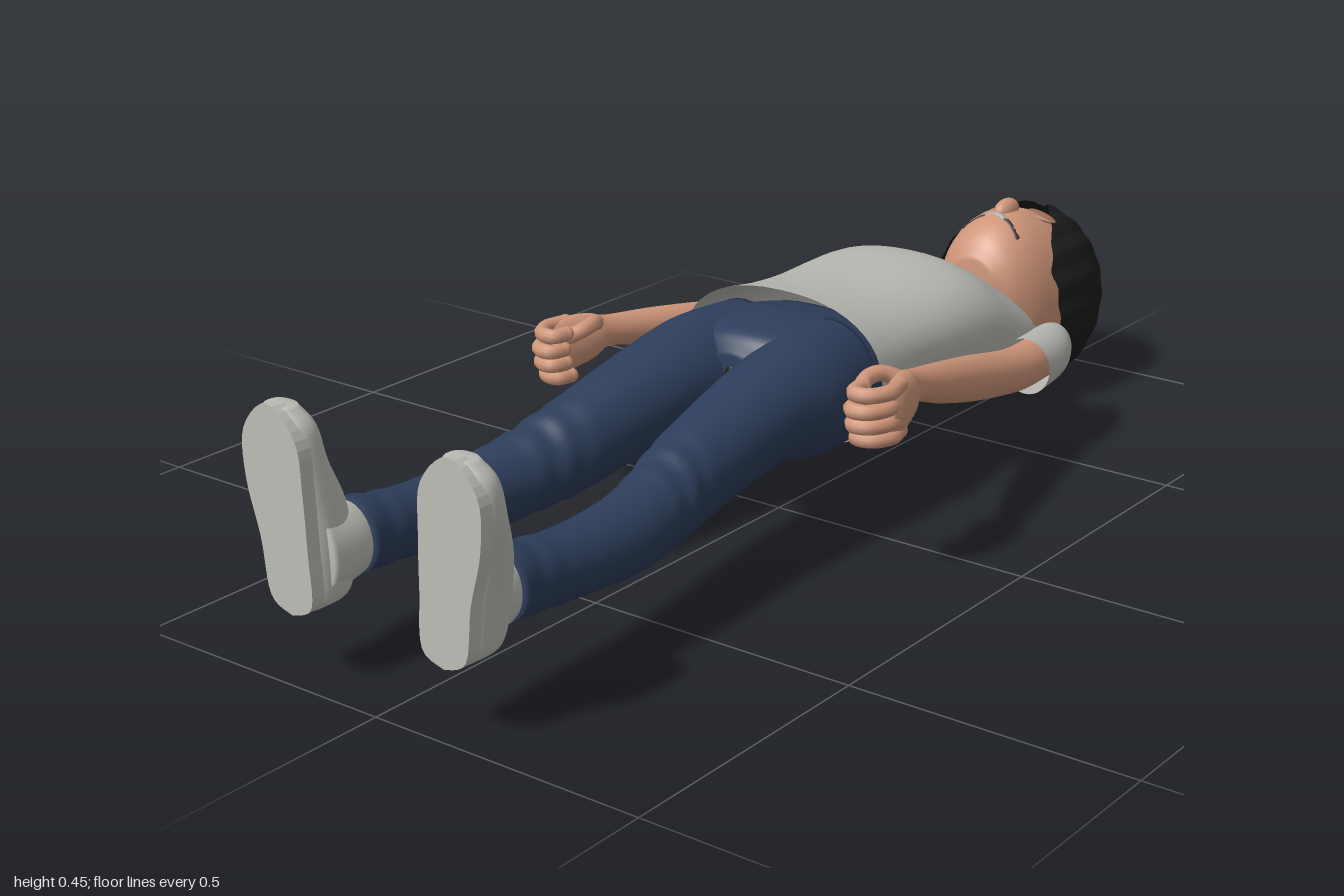
import * as THREE from 'three';
import { ParametricGeometry } from 'three/addons/geometries/ParametricGeometry.js';

const flat = (name, color, side = THREE.FrontSide) => {
  const m = new THREE.MeshStandardMaterial({ color, side });
  m.name = name;
  return m;
};

// Smooth body through cross-sections [z, x, y, rx, ry], listed by rising z.
function loft(sections, { side = 1, power = 2, open = false, ripple = null, seg = 36, step = 6 } = {}) {
  const mid = new THREE.CatmullRomCurve3(sections.map(s => new THREE.Vector3(s[1] * side, s[2], s[0])), false, 'catmullrom');
  const rad = new THREE.CatmullRomCurve3(sections.map(s => new THREE.Vector3(s[3], s[4], 0)), false, 'catmullrom');
  const n = (sections.length - 1) * step, pos = [], idx = [];
  const bend = v => Math.sign(v) * Math.abs(v) ** (2 / power);
  for (let i = 0; i <= n; i++) {
    const c = mid.getPoint(i / n), r = rad.getPoint(i / n);
    for (let j = 0; j < seg; j++) {
      const a = j / seg * Math.PI * 2, k = ripple ? 1 + ripple(c.z, a) : 1;
      pos.push(c.x + bend(Math.cos(a)) * r.x * k, c.y + bend(Math.sin(a)) * r.y * k, c.z);
    }
  }
  for (let i = 0; i < n; i++) for (let j = 0; j < seg; j++) {
    const a = i * seg + j, b = i * seg + (j + 1) % seg;
    idx.push(a, b, b + seg, a, b + seg, a + seg);
  }
  // End caps
  const cap = (i, flip) => {
    const c = mid.getPoint(i / n), m = pos.length / 3;
    pos.push(c.x, c.y, c.z);
    for (let j = 0; j < seg; j++) {
      const a = i * seg + j, b = i * seg + (j + 1) % seg;
      idx.push(m, flip ? b : a, flip ? a : b);
    }
  };
  cap(0, true);
  if (!open) cap(n, false);
  const g = new THREE.BufferGeometry();
  g.setAttribute('position', new THREE.Float32BufferAttribute(pos, 3));
  g.setIndex(idx);
  g.computeVertexNormals();
  return g;
}

export function createModel() {
  const skin = flat('skin', 0xcf967a), shirt = flat('shirt grey', 0xb7b7b2, THREE.DoubleSide);
  const denim = flat('denim blue', 0x2d3d5a), hairBlack = flat('hair black', 0x1b1b1b, THREE.DoubleSide);
  const shoeGrey = flat('shoe grey', 0xbdbdb7), lid = flat('eyelid brown', 0x9c6f5a);
  const teethGrey = flat('teeth grey', 0xa5a29e), dark = flat('mouth dark', 0x43322d);

  const model = new THREE.Group();
  model.name = 'lyingFigure';
  const body = new THREE.Group();
  body.name = 'body';
  body.position.x = -0.01;
  model.add(body);
  const add = (name, geo, mat, parent = body) => {
    const m = new THREE.Mesh(geo, mat);
    m.name = name;
    parent.add(m);
    return m;
  };
  const ball = (name, mat, p, s, rz = 0) => {
    const m = add(name, new THREE.SphereGeometry(1, 20, 14), mat);
    m.position.set(...p);
    m.scale.set(...s);
    m.rotation.z = rz;
    return m;
  };
  const tube = (name, mat, pts, r, n = 14) => {
    const curve = new THREE.CatmullRomCurve3(pts.map(p => new THREE.Vector3(...p)));
    add(name, new THREE.TubeGeometry(curve, n, r, 10), mat);
    for (const p of [pts[0], pts.at(-1)]) ball(name + 'End', mat, p, [r, r, r]);
  };

  // Head and neck
  add('head', loft([
    [-0.965, 0, 0.19, 0.05, 0.07], [-0.9, 0, 0.195, 0.105, 0.135], [-0.82, 0, 0.195, 0.123, 0.172],
    [-0.75, 0, 0.205, 0.118, 0.176], [-0.7, 0, 0.22, 0.107, 0.152], [-0.66, 0, 0.245, 0.083, 0.1],
    [-0.635, 0, 0.262, 0.045, 0.045]]), skin);
  add('neck', loft([[-0.7, 0, 0.19, 0.06, 0.065], [-0.63, 0, 0.18, 0.058, 0.06], [-0.56, 0, 0.18, 0.065, 0.06]]), skin);
  ball('nose', skin, [0, 0.377, -0.757], [0.019, 0.024, 0.036]);
  for (const s of [-1, 1]) ball('closedEye', lid, [0.045 * s, 0.359, -0.817], [0.032, 0.006, 0.015], -0.3 * s);
  tube('mouth', dark, [[-0.055, 0.343, -0.703], [-0.025, 0.366, -0.716], [0.025, 0.366, -0.716], [0.055, 0.343, -0.703]], 0.008);
  tube('teeth', teethGrey, [[-0.042, 0.355, -0.711], [0, 0.375, -0.722], [0.042, 0.355, -0.711]], 0.008);

  // Ridged hair shell with a pointed opening above the face
  const hair = new ParametricGeometry((u, v, out) => {
    const a = u * Math.PI * 2 - Math.PI / 2, c = Math.abs(Math.cos(a));
    const edge = Math.sin(a) > 0 ? -0.905 + 0.175 * Math.min(1, c / 0.85) : -0.73;
    const z = -1 + (edge + 1) * v * v, t = (z + 0.83) / 0.17;
    const r = (t < 0 ? Math.sqrt(Math.max(0, 1 - t * t)) : 1 - 0.12 * t * t) * (1 + 0.018 * v * Math.cos(a * 18));
    out.set(0.15 * r * Math.cos(a), 0.19 + 0.182 * r * Math.sin(a), z);
  }, 108, 20);
  hair.computeVertexNormals();
  add('hair', hair, hairBlack);

  // Shirt, open at the hem
  add('shirt', loft([
    [-0.622, 0, 0.185, 0.075, 0.05], [-0.61, 0, 0.187, 0.15, 0.065], [-0.57, 0, 0.193, 0.192, 0.09],
    [-0.48, 0, 0.222, 0.202, 0.125], [-0.38, 0, 0.256, 0.203, 0.133], [-0.2, 0, 0.27, 0.197, 0.117],
    [-0.1, 0, 0.27, 0.202, 0.123], [-0.02, 0, 0.267, 0.213, 0.137]], { power: 2.3, open: true, seg: 48 }), shirt);

  // Trousers
  add('hips', loft([
    [-0.12, 0, 0.262, 0.165, 0.09], [-0.03, 0, 0.255, 0.192, 0.115], [0.05, 0, 0.257, 0.18, 0.112],
    [0.1, 0, 0.262, 0.12, 0.095], [0.125, 0, 0.265, 0.05, 0.06]], { power: 2.3 }), denim);
  ball('crotchGap', hairBlack, [0, 0.265, 0.115], [0.022, 0.05, 0.018]);
  const folds = (z, a) => 0.03 * Math.sin(z * 110 + 2 * Math.sin(a)) *
    (Math.exp(-(((z - 0.47) / 0.06) ** 2)) + Math.exp(-(((z - 0.83) / 0.06) ** 2)));

  for (const s of [-1, 1]) {
    const side = s > 0 ? 'left' : 'right';
    add(side + 'Leg', loft([
      [-0.04, 0.095, 0.255, 0.095, 0.11], [0.08, 0.105, 0.26, 0.1, 0.106], [0.2, 0.108, 0.262, 0.087, 0.088],
      [0.4, 0.12, 0.224, 0.073, 0.08], [0.5, 0.135, 0.204, 0.067, 0.07], [0.6, 0.148, 0.194, 0.063, 0.064],
      [0.75, 0.152, 0.2, 0.055, 0.057], [0.88, 0.15, 0.217, 0.056, 0.062]],
    { side: s, ripple: folds, step: 12 }), denim);

    // Shoe: collar, upper lofted from heel to toe, sole and laces
    add(side + 'ShoeCollar', loft([[0.865, 0.15, 0.215, 0.048, 0.054], [0.9, 0.15, 0.215, 0.053, 0.065],
      [0.96, 0.15, 0.215, 0.05, 0.075]], { side: s }), shoeGrey);
    add(side + 'Shoe', loft([
      [0.132, 0.155, -0.96, 0.025, 0.03], [0.15, 0.155, -0.945, 0.044, 0.046], [0.21, 0.158, -0.94, 0.05, 0.055],
      [0.29, 0.168, -0.943, 0.055, 0.05], [0.36, 0.178, -0.958, 0.059, 0.038], [0.42, 0.18, -0.965, 0.053, 0.03],
      [0.452, 0.18, -0.972, 0.025, 0.02]], { side: s, power: 2.5 }), shoeGrey).rotation.x = -Math.PI / 2;
    const outline = new THREE.SplineCurve([[0.155, 0.127], [0.198, 0.15], [0.212, 0.24], [0.235, 0.33], [0.233, 0.41],
      [0.18, 0.459], [0.125, 0.41], [0.116, 0.33], [0.113, 0.24], [0.112, 0.15], [0.155, 0.127]]
      .map(p => new THREE.Vector2(p[0] * s, p[1])));
    add(side + 'Sole', new THREE.ExtrudeGeometry(new THREE.Shape(outline.getPoints(50)),
      { depth: 0.025, bevelEnabled: false }), shoeGrey).position.z = 0.975;
    for (let i = 0; i < 3; i++) {
      const y = 0.285 + i * 0.025, z = 0.893 + i * 0.011, x = 0.168 * s;
      tube(side + 'Lace', shoeGrey, [[x - 0.03, y, z + 0.007], [x, y, z], [x + 0.03, y, z + 0.007]], 0.005, 6);
    }

    // Sleeve and arm
    add(side + 'Sleeve', loft([
      [-0.637, 0.2, 0.185, 0.015, 0.02], [-0.615, 0.2, 0.185, 0.037, 0.04], [-0.56, 0.212, 0.183, 0.05, 0.05],
      [-0.465, 0.228, 0.186, 0.051, 0.053]], { side: s, open: true }), shirt);
    const lift = 0.017 * s;
    add(side + 'Arm', loft([
      [-0.54, 0.215, 0.185, 0.04, 0.04], [-0.4, 0.238, 0.2, 0.042, 0.04], [-0.22, 0.265, 0.242, 0.043, 0.041],
      [-0.06, 0.3, 0.278 + lift / 2, 0.036, 0.036], [0.06, 0.325, 0.305 + lift, 0.024, 0.029],
      [0.1, 0.337, 0.302 + lift, 0.027, 0.043], [0.15, 0.352, 0.297 + lift, 0.023, 0.05],
      [0.18, 0.357, 0.297 + lift, 0.014, 0.042]], { side: s }), skin);

    // Curled fingers and thumb, x measured outward
    const finger = (name, pts, r) => tube(side + name, skin, pts.map(([x, y, z]) => [x * s, y + lift, z]), r);
    for (let i = 0; i < 4; i++) {
      const y = 0.336 - i * 0.026, e = [0, 0.008, 0.004, -0.008][i];
      finger('Finger', [[0.355, y, 0.14], [0.362, y, 0.18 + e], [0.345, y, 0.213 + e], [0.317, y, 0.216 + e], [0.309, y, 0.19 + e]], 0.0135);
    }
    finger('Thumb', [[0.327, 0.325, 0.09], [0.304, 0.34, 0.12], [0.298, 0.338, 0.155], [0.308, 0.33, 0.18]], 0.014);
  }
  return model;
}
